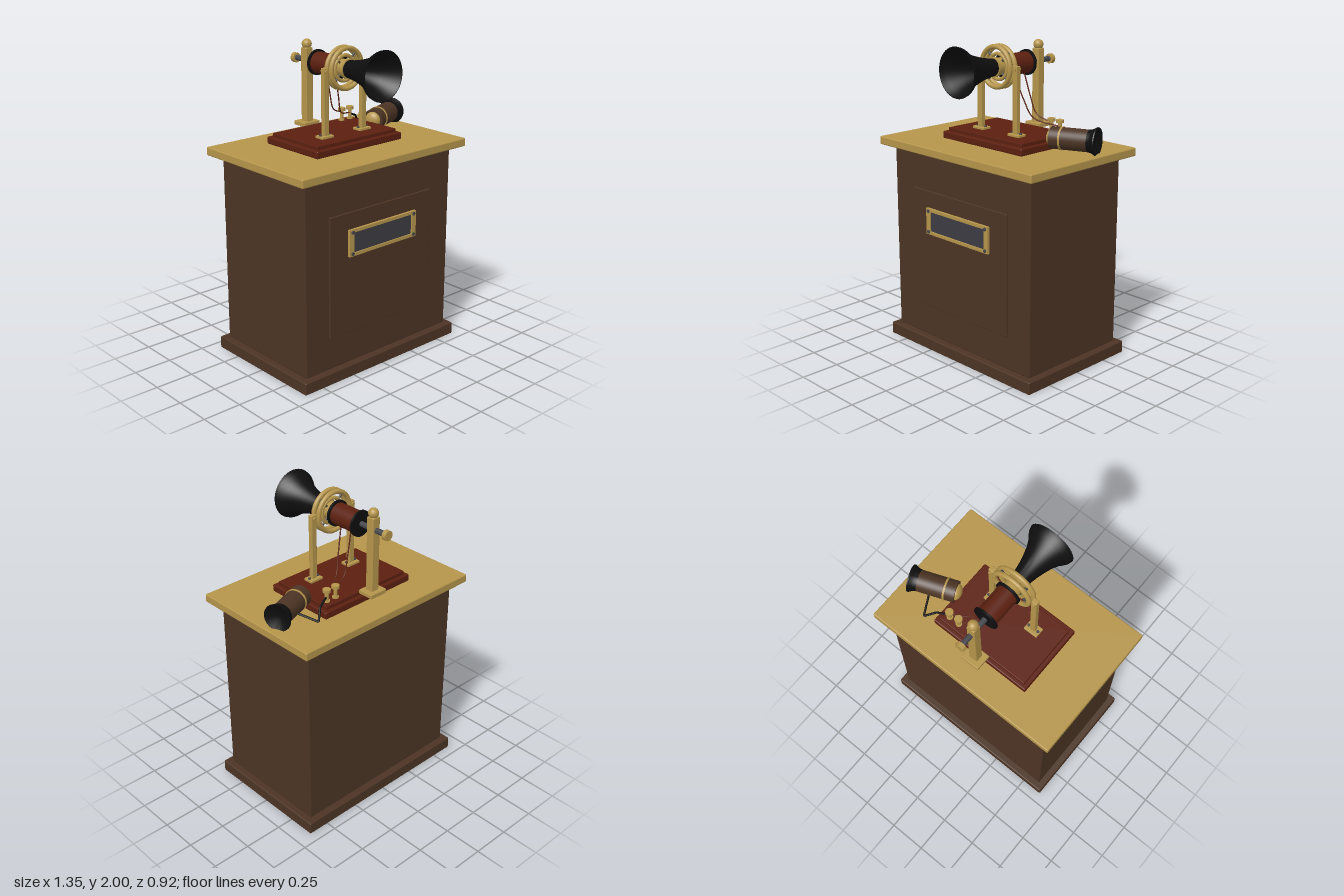
import * as THREE from 'three';
import { toCreasedNormals } from 'three/addons/utils/BufferGeometryUtils.js';
import { RoundedBoxGeometry } from 'three/addons/geometries/RoundedBoxGeometry.js';

const material = (name, color, side = THREE.FrontSide) => {
  const m = new THREE.MeshStandardMaterial({ color, side });
  m.name = name;
  return m;
};

export function createModel() {
  const walnut = material('walnut', 0x4c3424);
  const brass = material('brass', 0xb5954b);
  const mahogany = material('mahogany', 0x5c2010);
  const black = material('black rubber', 0x0e0e0e, THREE.DoubleSide);
  const steel = material('steel', 0x45474c);
  const slate = material('slate', 0x3d3c42);

  const model = new THREE.Group();
  model.name = 'cabinetTelephone';

  const add = (parent, name, geometry, mat, x = 0, y = 0, z = 0) => {
    const mesh = new THREE.Mesh(geometry, mat);
    mesh.name = name;
    mesh.position.set(x, y, z);
    parent.add(mesh);
    return mesh;
  };
  // Box given by its min and max on each axis, with softened edges
  const box = (parent, name, mat, [x0, x1], [y0, y1], [z0, z1], r = 0.004) =>
    add(parent, name, new RoundedBoxGeometry(x1 - x0, y1 - y0, z1 - z0, 2, r), mat,
      (x0 + x1) / 2, (y0 + y1) / 2, (z0 + z1) / 2);
  // Upright rod
  const rod = (parent, name, mat, r, x, y0, y1, z) =>
    add(parent, name, new THREE.CylinderGeometry(r, r, y1 - y0, 24), mat, x, (y0 + y1) / 2, z);
  // Drum along z
  const drum = (parent, name, mat, r, z0, z1, x = 0, y = 0) =>
    add(parent, name, new THREE.CylinderGeometry(r, r, z1 - z0, 40).rotateX(Math.PI / 2), mat, x, y, (z0 + z1) / 2);
  // Turned profile [radius, z] along z
  const turned = (parent, name, mat, profile) =>
    add(parent, name, toCreasedNormals(
      new THREE.LatheGeometry(profile.map(([r, z]) => new THREE.Vector2(r, z)), 48).rotateX(Math.PI / 2), 0.6), mat);
  const wire = (name, mat, r, points) =>
    add(model, name, new THREE.TubeGeometry(
      new THREE.CatmullRomCurve3(points.map(p => new THREE.Vector3(...p))), 32, r, 8), mat);

  // Cabinet
  box(model, 'plinth', walnut, [-0.645, 0.645], [0, 0.08], [-0.435, 0.435], 0.008);
  box(model, 'cabinetBody', walnut, [-0.603, 0.603], [0.08, 1.295], [-0.392, 0.392], 0.008);
  box(model, 'frontPanel', walnut, [-0.422, 0.422], [0.29, 1.067], [0.38, 0.404]);
  box(model, 'tableTop', brass, [-0.675, 0.675], [1.312, 1.366], [-0.462, 0.462], 0.008);

  // Name plate with a raised frame and corner screws
  const frame = new THREE.Shape([[-0.28, -0.085], [0.28, -0.085], [0.28, 0.085], [-0.28, 0.085]]
    .map(p => new THREE.Vector2(...p)));
  frame.holes.push(new THREE.Path([[-0.245, -0.065], [-0.245, 0.065], [0.245, 0.065], [0.245, -0.065]]
    .map(p => new THREE.Vector2(...p))));
  add(model, 'plateFrame', new THREE.ExtrudeGeometry(frame, { depth: 0.018, bevelEnabled: false }), brass, 0, 0.876, 0.403);
  box(model, 'plate', slate, [-0.25, 0.25], [0.808, 0.944], [0.403, 0.412], 0.001);
  for (const sx of [-1, 1]) for (const sy of [-1, 1])
    drum(model, 'plateScrew', steel, 0.011, 0.419, 0.427, sx * 0.257, 0.876 + sy * 0.068);

  // Stepped instrument base
  box(model, 'lowerBase', mahogany, [-0.35, 0.35], [1.366, 1.412], [-0.27, 0.21], 0.008);
  box(model, 'upperBase', mahogany, [-0.325, 0.325], [1.405, 1.435], [-0.246, 0.182]);

  // Pair of front posts
  for (const s of [-1, 1]) {
    const post = new THREE.Group();
    post.name = 'frontPost';
    model.add(post);
    const x = s * 0.155;
    box(post, 'postFoot', brass, [x - 0.048, x + 0.048], [1.433, 1.45], [0.02, 0.087]);
    box(post, 'postShaft', brass, [x - 0.019, x + 0.019], [1.445, 1.865], [0.04, 0.072]);
    for (const t of [-1, 1]) rod(post, 'footScrew', steel, 0.009, x + t * 0.034, 1.449, 1.457, 0.053);
    drum(post, 'pivot', brass, 0.012, 0.03, 0.08, x, 1.845);
  }

  // Rear post with ball finial
  box(model, 'rearFoot', brass, [-0.063, 0.063], [1.425, 1.452], [-0.353, -0.247]);
  box(model, 'rearPost', brass, [-0.028, 0.028], [1.4, 1.925], [-0.322, -0.268], 0.006);
  add(model, 'rearFinial', new THREE.SphereGeometry(0.032, 24, 16), brass, 0, 1.947, -0.295);

  // Horn and coil assembly, lying along z
  const speaker = new THREE.Group();
  speaker.name = 'speakingUnit';
  speaker.position.y = 1.845;
  model.add(speaker);
  turned(speaker, 'horn', black, [[0.054, 0.1], [0.058, 0.14], [0.067, 0.19], [0.08, 0.24], [0.096, 0.29],
    [0.118, 0.335], [0.138, 0.36], [0.15, 0.38], [0.155, 0.4], [0.151, 0.4], [0.132, 0.36], [0.09, 0.29],
    [0.061, 0.19], [0.046, 0.11]]);
  drum(speaker, 'throatCollar', brass, 0.062, 0.085, 0.106);
  drum(speaker, 'throatDisc', brass, 0.037, 0.1, 0.125);
  drum(speaker, 'throatPin', steel, 0.009, 0.12, 0.128);
  for (const z of [0.037, 0.079])
    add(speaker, 'outerRing', new THREE.TorusGeometry(0.124, 0.015, 14, 56), brass, 0, 0, z);
  add(speaker, 'innerRing', new THREE.TorusGeometry(0.078, 0.012, 14, 48), brass, 0, 0, 0.058);
  drum(speaker, 'throat', brass, 0.054, 0.01, 0.09);
  for (let i = 0; i < 4; i++) {
    const a = Math.PI / 4 + i * Math.PI / 2;
    const spring = add(speaker, 'suspensionSpring', new THREE.CylinderGeometry(0.007, 0.007, 0.075, 12), steel,
      Math.cos(a) * 0.09, Math.sin(a) * 0.09, 0.058);
    spring.rotation.z = a - Math.PI / 2;
  }
  drum(speaker, 'coil', mahogany, 0.068, -0.185, 0.005);
  drum(speaker, 'coilFlange', black, 0.081, -0.002, 0.012);
  drum(speaker, 'coilFlange', black, 0.081, -0.197, -0.183);
  drum(speaker, 'adjustingRod', steel, 0.017, -0.395, -0.19);
  drum(speaker, 'adjustingKnob', brass, 0.031, -0.42, -0.392);

  // Wire terminals
  for (const x of [0.21, 0.28]) {
    rod(model, 'terminalFoot', brass, 0.02, x, 1.433, 1.445, -0.2);
    rod(model, 'terminalStem', brass, 0.012, x, 1.44, 1.505, -0.2);
    rod(model, 'terminalCap', brass, 0.025, x, 1.5, 1.519, -0.2);
  }
  wire('coilWire', mahogany, 0.004, [[0.03, 1.785, -0.14], [0.07, 1.64, -0.155], [0.11, 1.535, -0.17], [0.21, 1.49, -0.2]]);
  wire('coilWire', mahogany, 0.004, [[0.03, 1.785, -0.055], [0.08, 1.63, -0.085], [0.13, 1.52, -0.12], [0.28, 1.475, -0.2]]);
  // Receiver cord, with sharp bends
  const cord = new THREE.CurvePath();
  const bends = [[0.28, 1.47, -0.2], [0.36, 1.44, -0.23], [0.42, 1.39, -0.283], [0.478, 1.42, -0.165]]
    .map(p => new THREE.Vector3(...p));
  for (let i = 0; i < 3; i++) cord.add(new THREE.LineCurve3(bends[i], bends[i + 1]));
  add(model, 'receiverCord', new THREE.TubeGeometry(cord, 48, 0.007, 8), black);

  // Receiver lying on the table
  const receiver = new THREE.Group();
  receiver.name = 'receiver';
  receiver.position.set(0.35, 1.443, -0.052);
  receiver.rotation.y = Math.atan2(0.934, -0.358);
  model.add(receiver);
  drum(receiver, 'receiverBody', walnut, 0.068, 0, 0.25);
  drum(receiver, 'receiverBand', brass, 0.072, 0.062, 0.074);
  const dome = add(receiver, 'receiverDome', new THREE.SphereGeometry(0.052, 28, 16), brass);
  dome.scale.z = 0.62;
  turned(receiver, 'earpiece', black, [[0.068, 0.24], [0.07, 0.252], [0.076, 0.27], [0.087, 0.288], [0.086, 0.295],
    [0.074, 0.29], [0.035, 0.27], [0.001, 0.265]]);

  return model;
}
